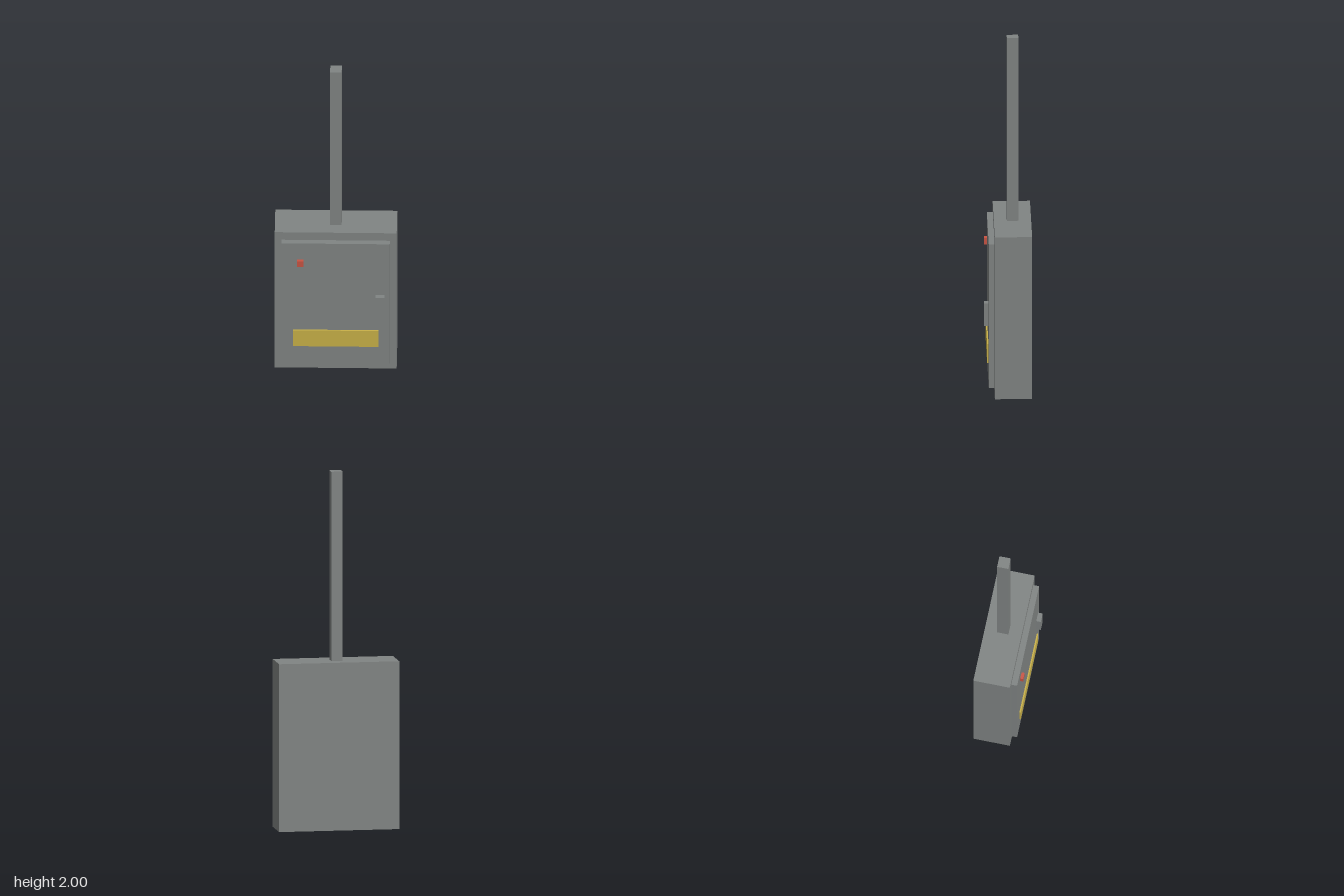
import * as THREE from 'three';

const material = (name, color) => {
  const m = new THREE.MeshStandardMaterial({ color });
  m.name = name;
  return m;
};

// Box given by its extents on each axis
function block(name, mat, [x0, x1], [y0, y1], [z0, z1]) {
  const mesh = new THREE.Mesh(new THREE.BoxGeometry(x1 - x0, y1 - y0, z1 - z0), mat);
  mesh.position.set((x0 + x1) / 2, (y0 + y1) / 2, (z0 + z1) / 2);
  mesh.name = name;
  return mesh;
}

export function createModel() {
  const grey = material('paintedSteel', 0x808483);
  const yellow = material('warningYellow', 0xc9b148);
  const red = material('lampRed', 0xc95443);

  const model = new THREE.Group();
  model.name = 'electricalCabinet';
  model.add(
    // Cabinet body with the conduit rising from its top
    block('cabinet', grey, [-0.338, 0.338], [0, 0.94], [-0.134, 0.073]),
    block('conduit', grey, [-0.032, 0.032], [0.94, 2], [-0.063, 0.001]),
    // Door and its fittings
    block('door', grey, [-0.3, 0.3], [0.055, 0.888], [0.073, 0.106]),
    block('handle', grey, [0.221, 0.272], [0.405, 0.535], [0.106, 0.132]),
    block('warningStrip', yellow, [-0.237, 0.237], [0.18, 0.29], [0.106, 0.114]),
    block('indicatorLamp', red, [-0.215, -0.177], [0.738, 0.776], [0.106, 0.123]),
  );
  return model;
}
